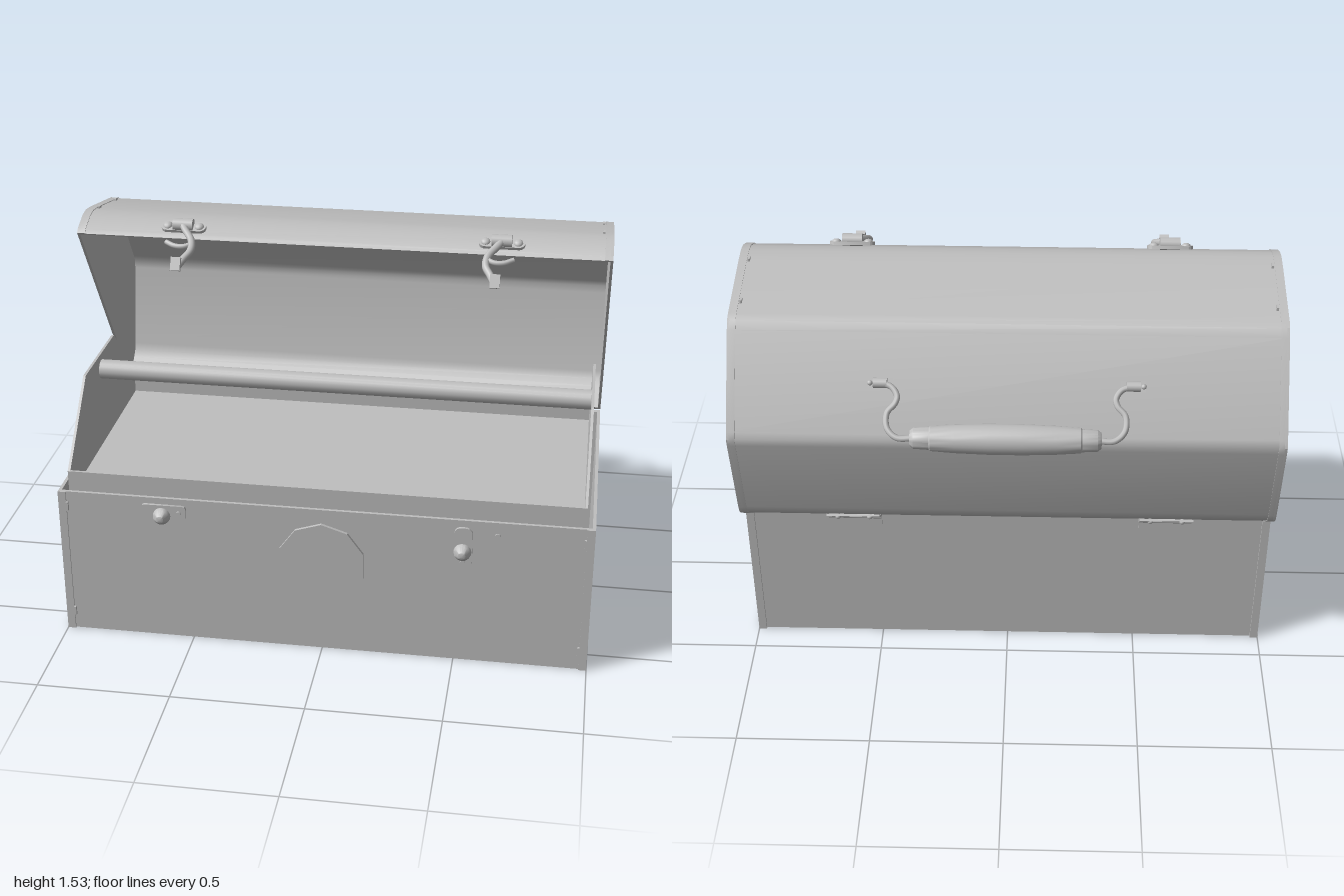
import * as THREE from 'three';
import { toCreasedNormals } from 'three/addons/utils/BufferGeometryUtils.js';

const metal = new THREE.MeshStandardMaterial({ color: 0xbfbfbf });
metal.name = 'grey metal';

export function createModel() {
  const root = new THREE.Group();
  root.name = 'toolbox';

  const add = (parent, name, geo, pos = [0, 0, 0]) => {
    const m = new THREE.Mesh(geo, metal);
    m.name = name;
    m.position.set(...pos);
    parent.add(m);
    return m;
  };
  const group = (parent, name) => {
    const g = new THREE.Group();
    g.name = name;
    parent.add(g);
    return g;
  };
  // box given by its limits
  const slab = (parent, name, x0, x1, y0, y1, z0, z1) =>
    add(parent, name, new THREE.BoxGeometry(x1 - x0, y1 - y0, z1 - z0),
      [(x0 + x1) / 2, (y0 + y1) / 2, (z0 + z1) / 2]);
  // [z, y] outline extruded along x
  const alongX = (pts, x0, x1, crease = 0.3) => {
    const shape = new THREE.Shape(pts.map(p => new THREE.Vector2(p[0], p[1])));
    const g = new THREE.ExtrudeGeometry(shape, { depth: x1 - x0, bevelEnabled: false });
    g.rotateY(-Math.PI / 2).translate(x1, 0, 0);
    return toCreasedNormals(g, crease);
  };
  const tube = (pts, r, seg = 30) => new THREE.TubeGeometry(
    new THREE.CatmullRomCurve3(pts.map(p => new THREE.Vector3(...p))), seg, r, 8);
  const lathe = (pts, seg = 20) => toCreasedNormals(
    new THREE.LatheGeometry(pts.map(p => new THREE.Vector2(...p)), seg), 0.6);

  // Base: open box with end panels and folded flanges
  const base = group(root, 'base');
  slab(base, 'floor', -0.99, 0.99, 0, 0.012, -0.39, 0.6);
  slab(base, 'frontWall', -0.99, 0.99, 0.002, 0.6, 0.59, 0.602);
  slab(base, 'backWall', -0.99, 0.99, 0.002, 0.6, -0.392, -0.38);
  for (const s of [-1, 1]) {
    const side = (a, b) => [Math.min(s * a, s * b), Math.max(s * a, s * b)];
    slab(base, 'endPanel', ...side(0.988, 1), 0, 0.6, -0.4, 0.608);
    slab(base, 'frontFlange', ...side(0.97, 0.995), 0, 0.6, 0.6, 0.608);
    slab(base, 'backFlange', ...side(0.97, 0.995), 0, 0.6, -0.4, -0.39);
    for (const y of [0.08, 0.54]) {
      slab(base, 'rivet', ...side(0.962, 0.97), y - 0.018, y + 0.018, 0.6, 0.612);
    }
  }

  // Tray with tall gabled ends and a carrying rod
  const tray = group(root, 'tray');
  slab(tray, 'trayFloor', -0.96, 0.96, 0.565, 0.575, -0.36, 0.57);
  slab(tray, 'trayFront', -0.96, 0.96, 0.5, 0.67, 0.562, 0.572);
  slab(tray, 'trayBack', -0.96, 0.96, 0.5, 0.67, -0.362, -0.352);
  const gable = [[0.572, 0.5], [0.572, 0.67], [0.305, 0.943], [-0.092, 0.943], [-0.362, 0.67], [-0.362, 0.5]];
  add(tray, 'trayEnd', alongX(gable, 0.956, 0.966));
  add(tray, 'trayEnd', alongX(gable, -0.966, -0.956));
  const rod = new THREE.CylinderGeometry(0.038, 0.038, 1.92, 20);
  add(tray, 'carryingRod', rod.rotateZ(Math.PI / 2), [0, 0.88, 0.1]);

  // Lid: bent sheet, end caps and rims
  const lid = group(root, 'lid');
  const outline = [[0.152, 1.462], [0.14, 1.475], [0.07, 1.505], [0.025, 1.511], [-0.03, 1.504],
    [-0.315, 1.447], [-0.342, 1.435], [-0.365, 1.408], [-0.57, 1.105], [-0.582, 1.08], [-0.579, 1.05],
    [-0.515, 0.72], [-0.505, 0.69], [-0.482, 0.667], [-0.405, 0.602]];
  const scaled = k => outline.map(([z, y]) => [-0.18 + (z + 0.18) * k, 1.08 + (y - 1.08) * k]);
  const band = (a, b) => [...scaled(a), ...scaled(b).reverse()];
  add(lid, 'lidSheet', alongX(band(0.994, 0.98), -0.99, 0.99, 0.7));
  for (const s of [-1, 1]) {
    const c = s > 0 ? [0.99, 1] : [-1, -0.99];
    const r = s > 0 ? [0.97, 1] : [-1, -0.97];
    add(lid, 'lidEnd', alongX(outline, ...c));
    add(lid, 'lidRim', alongX(band(1, 0.985), ...r, 0.7));
    for (const z of [-0.25, -0.03]) {
      slab(lid, 'lidRivet', s * 0.962 - 0.004, s * 0.962 + 0.004,
        1.5 + z * 0.2, 1.516 + z * 0.2, z - 0.012, z + 0.012);
    }
  }

  // Handle: turned grip on two bent wires, hooked into mounts on the lid
  const handle = group(root, 'handle');
  const half = [[0, 0.34], [0.028, 0.338], [0.038, 0.325], [0.041, 0.27], [0.045, 0.265], [0.051, 0.18], [0.055, 0.06]];
  const grip = lathe([...half.map(([r, h]) => [r, -h]), ...half.slice().reverse()], 28);
  add(handle, 'grip', grip.rotateZ(Math.PI / 2), [0, 1.13, -0.62]);
  for (const s of [-1, 1]) {
    const wire = [[0.32, -0.62], [0.385, -0.62], [0.42, -0.595], [0.422, -0.555], [0.395, -0.53],
      [0.388, -0.51], [0.41, -0.485], [0.46, -0.475]];
    add(handle, 'handleWire', tube(wire.map(([x, z]) => [s * x, 1.13 + (z + 0.62) * 0.93, z]), 0.011, 50));
    const mount = group(handle, 'handleMount');
    mount.position.set(s * 0.45, 1.262, -0.472);
    mount.rotation.x = -0.972; // lies on the rear slope
    slab(mount, 'mountPlate', -0.045, 0.045, -0.02, -0.008, -0.02, 0.02);
    const eye = new THREE.CylinderGeometry(0.018, 0.018, 0.05, 14).rotateZ(Math.PI / 2);
    add(mount, 'mountEye', eye);
    add(mount, 'mountRivet', new THREE.SphereGeometry(0.01, 10, 6), [s * 0.037, -0.006, 0]);
  }

  // Rounded plate, extruded in z from 0
  const plate = (w, h, d, r) => {
    const sh = new THREE.Shape();
    const x = w / 2 - r, y = h / 2 - r;
    sh.absarc(x, y, r, 0, Math.PI / 2);
    sh.absarc(-x, y, r, Math.PI / 2, Math.PI);
    sh.absarc(-x, -y, r, Math.PI, Math.PI * 1.5);
    sh.absarc(x, -y, r, Math.PI * 1.5, Math.PI * 2);
    return toCreasedNormals(new THREE.ExtrudeGeometry(sh, { depth: d, bevelEnabled: false, curveSegments: 6 }), 0.6);
  };

  // Latches on the lid lip, with curved hooks hanging forward
  for (const s of [-1, 1]) {
    const latch = group(root, 'latch');
    const mount = group(latch, 'latchMount');
    mount.position.set(s * 0.595, 1.488, 0.112);
    mount.rotation.x = -Math.PI / 2 + 0.43;
    add(mount, 'latchPlate', plate(0.17, 0.05, 0.012, 0.024));
    for (const x of [-0.06, 0.06]) {
      const bump = add(mount, 'latchRivet', new THREE.SphereGeometry(0.018, 12, 8), [x, 0, 0.01]);
      bump.scale.z = 0.7;
    }
    const barrel = new THREE.CylinderGeometry(0.024, 0.024, 0.075, 16).rotateZ(Math.PI / 2);
    add(mount, 'latchBarrel', barrel, [0, 0, 0.018]);
    const drop = z => 1.5 - (z - 0.14) * 0.61;
    const arm = [[0.605, 0.115], [0.58, 0.15], [0.55, 0.19], [0.545, 0.23], [0.565, 0.265], [0.583, 0.3]];
    add(latch, 'latchArm', tube(arm.map(([x, z]) => [s * x, drop(z), z]), 0.014));
    const fork = [[0.54, 0.2], [0.575, 0.215], [0.61, 0.214], [0.645, 0.2]];
    add(latch, 'latchFork', tube(fork.map(([x, z]) => [s * x, drop(z), z]), 0.01, 14));
    const tip = add(latch, 'latchTip', new THREE.BoxGeometry(0.036, 0.05, 0.016), [s * 0.585, 1.417, 0.302]);
    tip.rotation.x = -0.5;
  }

  // Catches on the front wall: one lying flat, one upright
  const catches = [[-0.595, 0.545, 0.17, 0.06], [0.525, 0.488, 0.068, 0.17]];
  for (const [x, y, w, h] of catches) {
    const c = group(root, 'frontCatch');
    c.position.set(x, y, 0.602);
    add(c, 'catchPlate', plate(w, h, 0.01, w > h ? 0.015 : 0.026));
    const knob = lathe([[0.018, 0], [0.014, 0.022], [0.033, 0.033], [0.03, 0.047], [0.014, 0.066], [0, 0.07]]);
    add(c, 'catchKnob', knob.rotateX(Math.PI / 2));
    const far = 0.058;
    const rivet = new THREE.CylinderGeometry(0.01, 0.01, 0.006, 12).rotateX(Math.PI / 2);
    add(c, 'catchRivet', rivet, w > h ? [far, 0, 0.012] : [0, -far, 0.012]);
  }
  add(root, 'frontRivet', new THREE.CylinderGeometry(0.011, 0.011, 0.008, 12).rotateX(Math.PI / 2), [0.65, 0.545, 0.604]);

  // Blank badge in the middle of the front
  const badge = toCreasedNormals(new THREE.CylinderGeometry(0.166, 0.166, 0.012, 10), 0.3);
  add(root, 'badge', badge.rotateX(Math.PI / 2), [0, 0.378, 0.608]);

  // Hinges along the back edge
  for (const x of [-0.6, 0.58]) {
    const hinge = group(root, 'hinge');
    hinge.position.set(x, 0.603, -0.408);
    const pin = new THREE.CylinderGeometry(0.011, 0.011, 0.2, 12).rotateZ(Math.PI / 2);
    add(hinge, 'hingePin', pin);
    slab(hinge, 'baseLeaf', -0.1, 0.1, -0.075, 0, 0.009, 0.017);
    const leaf = group(hinge, 'lidLeaf');
    leaf.rotation.x = 0.7; // follows the lower slope of the lid
    slab(leaf, 'leafPlate', -0.1, 0.1, -0.006, 0.002, -0.08, 0);
    for (const rx of [-0.06, 0.06]) {
      add(leaf, 'leafRivet', new THREE.SphereGeometry(0.011, 10, 6), [rx, -0.005, -0.045]);
    }
  }
  return root;
}
